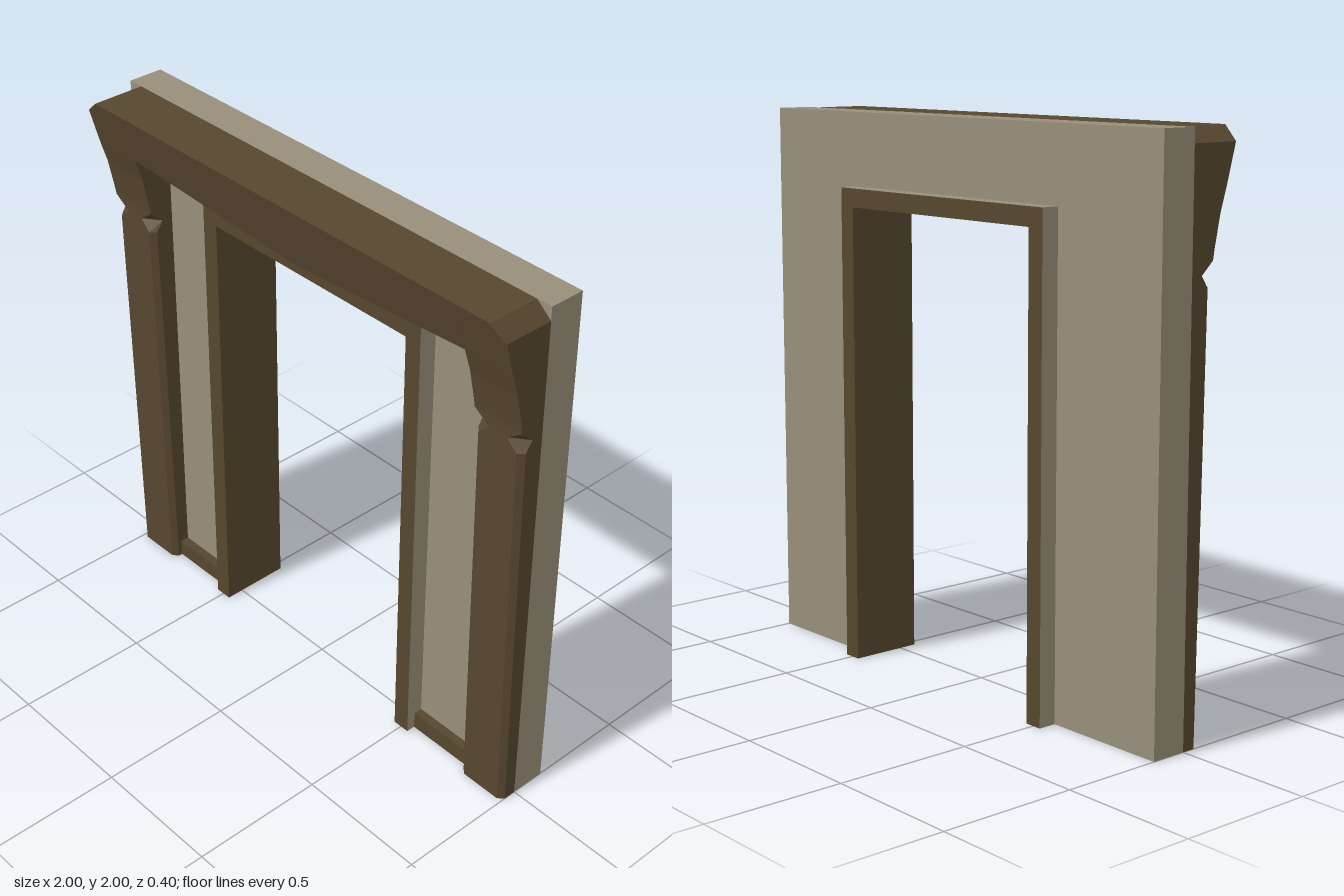
import * as THREE from 'three';

const stone = new THREE.MeshStandardMaterial({ color: 0x978f7a, flatShading: true });
const wood = new THREE.MeshStandardMaterial({ color: 0x57472f, flatShading: true });

function add(parent, name, geometry, material) {
  const mesh = new THREE.Mesh(geometry, material);
  mesh.name = name;
  parent.add(mesh);
  return mesh;
}

// Box given by its limits on each axis
function block([x0, x1], [y0, y1], [z0, z1]) {
  return new THREE.BoxGeometry(x1 - x0, y1 - y0, z1 - z0)
    .translate((x0 + x1) / 2, (y0 + y1) / 2, (z0 + z1) / 2);
}

// Closed solid through matching rings of points; flip reverses the winding
function loft(rings, flip = false) {
  const pos = [];
  const tri = (a, b, c) => pos.push(...a, ...(flip ? [...c, ...b] : [...b, ...c]));
  const n = rings[0].length;
  for (let r = 0; r < rings.length - 1; r++) {
    for (let i = 0; i < n; i++) {
      const j = (i + 1) % n;
      const a = rings[r][i], b = rings[r][j], c = rings[r + 1][j], d = rings[r + 1][i];
      tri(a, b, c);
      tri(a, c, d);
    }
  }
  const first = rings[0], last = rings[rings.length - 1];
  for (let i = 1; i < n - 1; i++) {
    tri(first[0], first[i + 1], first[i]);
    tri(last[0], last[i], last[i + 1]);
  }
  const g = new THREE.BufferGeometry();
  g.setAttribute('position', new THREE.Float32BufferAttribute(pos, 3));
  g.computeVertexNormals();
  return g;
}

// Post sections: height, side depth, front depth, edge chamfer, outer x
const postRows = [
  [0, 0.048, 0.067, 0.02, 1],
  [1.5, 0.07, 0.09, 0.02, 1],
  [1.54, 0.043, 0.09, 0.062, 1],
  [1.585, 0.092, 0.093, 0.001, 1],
  [1.62, 0.098, 0.099, 0.001, 1],
  [1.73, 0.121, 0.122, 0.001, 1],
  [1.82, 0.149, 0.15, 0.001, 1],
  [1.95, 0.185, 0.186, 0.001, 1],
  [2, 0.199, 0.2, 0.001, 0.94],
];

function postGeometry(side) {
  const rings = postRows.map(([y, zs, zf, c, outer]) => [
    [0.8, 0], [outer, 0], [outer, zs], [outer - c, zf], [0.8 + c, zf], [0.8, zs],
  ].map(([x, z]) => [side * x, y, z]));
  return loft(rings, side > 0);
}

export function createModel() {
  const model = new THREE.Group();
  model.name = 'doorway';

  // Wall panel around the opening
  const wallShape = new THREE.Shape([
    [-1, 0], [-0.533, 0], [-0.533, 1.735], [0.533, 1.735],
    [0.533, 0], [1, 0], [1, 2], [-1, 2],
  ].map(([x, y]) => new THREE.Vector2(x, y)));
  const wallGeo = new THREE.ExtrudeGeometry(wallShape, { depth: 0.133, bevelEnabled: false });
  add(model, 'wall', wallGeo.translate(0, 0, -0.133), stone);

  // Door frame, with outer faces matching the wall
  const frame = new THREE.Group();
  frame.name = 'doorFrame';
  model.add(frame);
  const depth = [-0.2, 0.067];
  add(frame, 'frameLintel', block([-0.467, 0.467], [1.668, 1.735], depth),
    [wood, wood, stone, wood, wood, wood]);
  add(frame, 'rightJamb', block([-0.533, -0.467], [0, 1.735], depth),
    [wood, stone, stone, stone, wood, wood]);
  add(frame, 'leftJamb', block([0.467, 0.533], [0, 1.735], depth),
    [stone, wood, stone, stone, wood, wood]);

  // Flared posts and skirting strips on both sides
  for (const side of [-1, 1]) {
    const label = side > 0 ? 'left' : 'right';
    add(model, label + 'Post', postGeometry(side), wood);
    const xs = side > 0 ? [0.533, 0.8] : [-0.8, -0.533];
    add(model, label + 'Skirting', block(xs, [0, 0.067], [0, 0.033]), wood);
  }

  // Header beam, leaning forward and dipping at mid-span
  const beamRings = [[-0.8, 0], [0, 1], [0.8, 0]].map(([x, mid]) => [
    [x, 2, 0],
    [x, 2, 0.2],
    [x, 1.82 - 0.065 * mid, 0.15 - 0.018 * mid],
    [x, 1.8 - 0.062 * mid, 0],
  ]);
  add(model, 'headerBeam', loft(beamRings), wood);

  return model;
}
